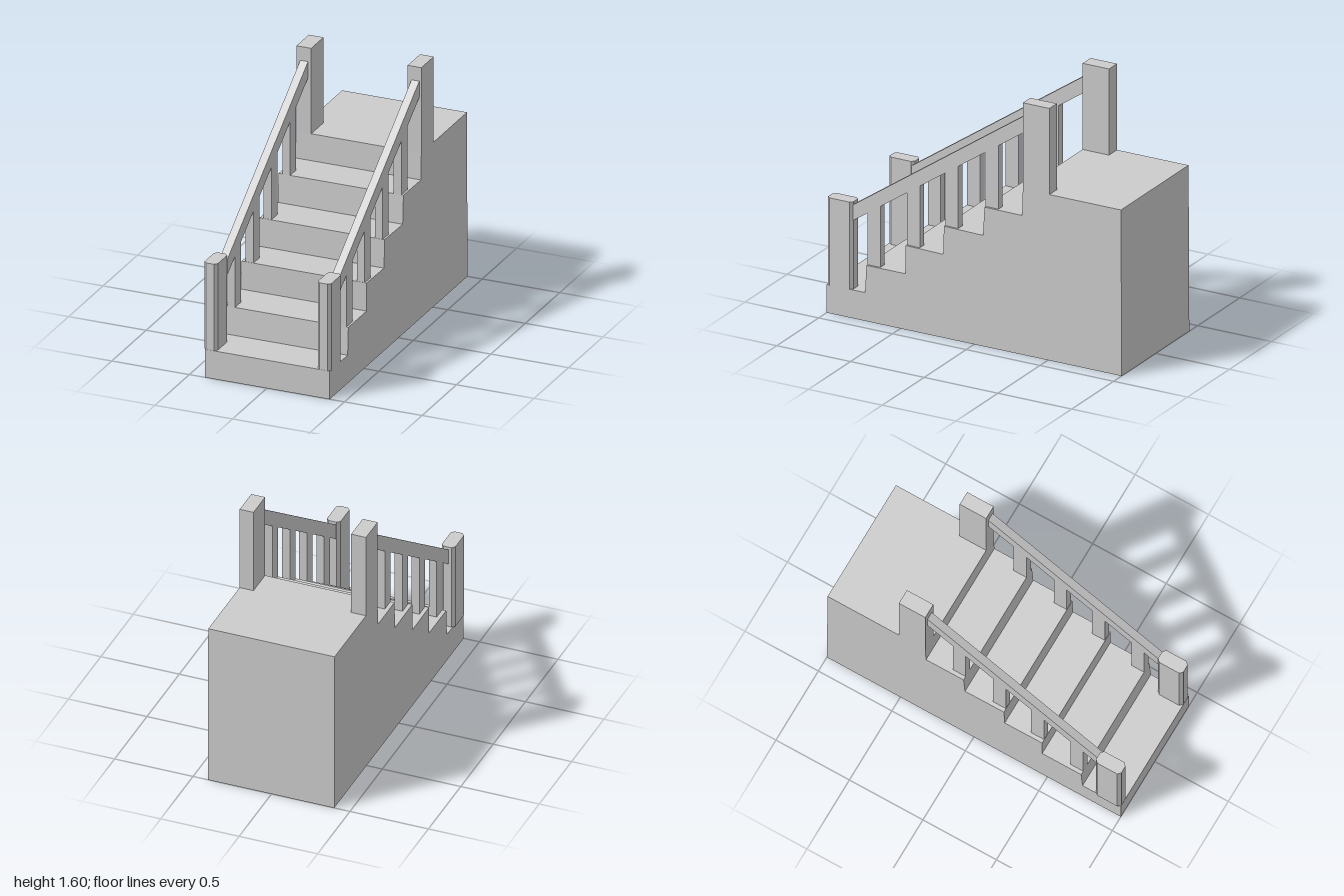
import * as THREE from 'three';

const material = new THREE.MeshStandardMaterial({ color: 0xcccccc, flatShading: true });

// Extrudes a side profile of [z, y] points across x0..x1
function sidePart(name, points, x0, x1) {
  const shape = new THREE.Shape(points.map(([z, y]) => new THREE.Vector2(z, y)));
  const geometry = new THREE.ExtrudeGeometry(shape, { depth: x1 - x0, bevelEnabled: false });
  geometry.rotateY(-Math.PI / 2).translate(x1, 0, 0);
  const mesh = new THREE.Mesh(geometry, material);
  mesh.name = name;
  return mesh;
}

// Upright post with a plan whose corners are cut by c
function chamferedPost(name, x0, x1, z0, z1, y0, y1, c) {
  const w = (x1 - x0) / 2, d = (z1 - z0) / 2;
  const plan = new THREE.Shape([
    [w - c, -d], [w, -d + c], [w, d - c], [w - c, d],
    [-w + c, d], [-w, d - c], [-w, -d + c], [-w + c, -d],
  ].map(([x, y]) => new THREE.Vector2(x, y)));
  const geometry = new THREE.ExtrudeGeometry(plan, { depth: y1 - y0, bevelEnabled: false });
  geometry.rotateX(-Math.PI / 2).translate((x0 + x1) / 2, y0, (z0 + z1) / 2);
  const mesh = new THREE.Mesh(geometry, material);
  mesh.name = name;
  return mesh;
}

// Height of the handrail's underside at depth z
const railBottom = (z) => THREE.MathUtils.mapLinear(z, 0.83, -0.33, 0.615, 1.41);

export function createModel() {
  const model = new THREE.Group();
  model.name = 'staircase';

  // Solid flight of steps with the upper landing
  model.add(sidePart('steps', [
    [1, 0], [1, 0.18], [0.74, 0.18], [0.73, 0.355], [0.465, 0.355], [0.465, 0.535],
    [0.21, 0.53], [0.205, 0.71], [-0.06, 0.705], [-0.07, 0.887], [-0.325, 0.885],
    [-0.33, 1.055], [-0.995, 1.055], [-1, 0],
  ], -0.4, 0.405));

  // A railing on each side
  const sides = [
    { name: 'rightRailing', lower: [-0.41, -0.325], upper: [-0.4, -0.305], rail: [-0.375, -0.325] },
    { name: 'leftRailing', lower: [0.32, 0.407], upper: [0.317, 0.405], rail: [0.342, 0.392] },
  ];
  const balusters = [[0.73, 0.355], [0.463, 0.53], [0.203, 0.705], [-0.07, 0.885]];

  for (const { name, lower, upper, rail } of sides) {
    const railing = new THREE.Group();
    railing.name = name;

    railing.add(chamferedPost('lowerPost', ...lower, 0.827, 0.999, 0.178, 0.735, 0.018));
    railing.add(sidePart('upperPost',
      [[-0.33, 0.885], [-0.33, 1.603], [-0.51, 1.603], [-0.51, 0.885]], ...upper));
    railing.add(sidePart('handrail',
      [[0.84, 0.608], [0.84, 0.708], [-0.335, 1.518], [-0.335, 1.413]], ...rail));

    // Balusters cut to the slope of the handrail
    for (const [z, y] of balusters) {
      const back = z - 0.087;
      railing.add(sidePart('baluster',
        [[z, y - 0.01], [z, railBottom(z)], [back, railBottom(back)], [back, y - 0.01]], ...rail));
    }
    model.add(railing);
  }
  return model;
}
